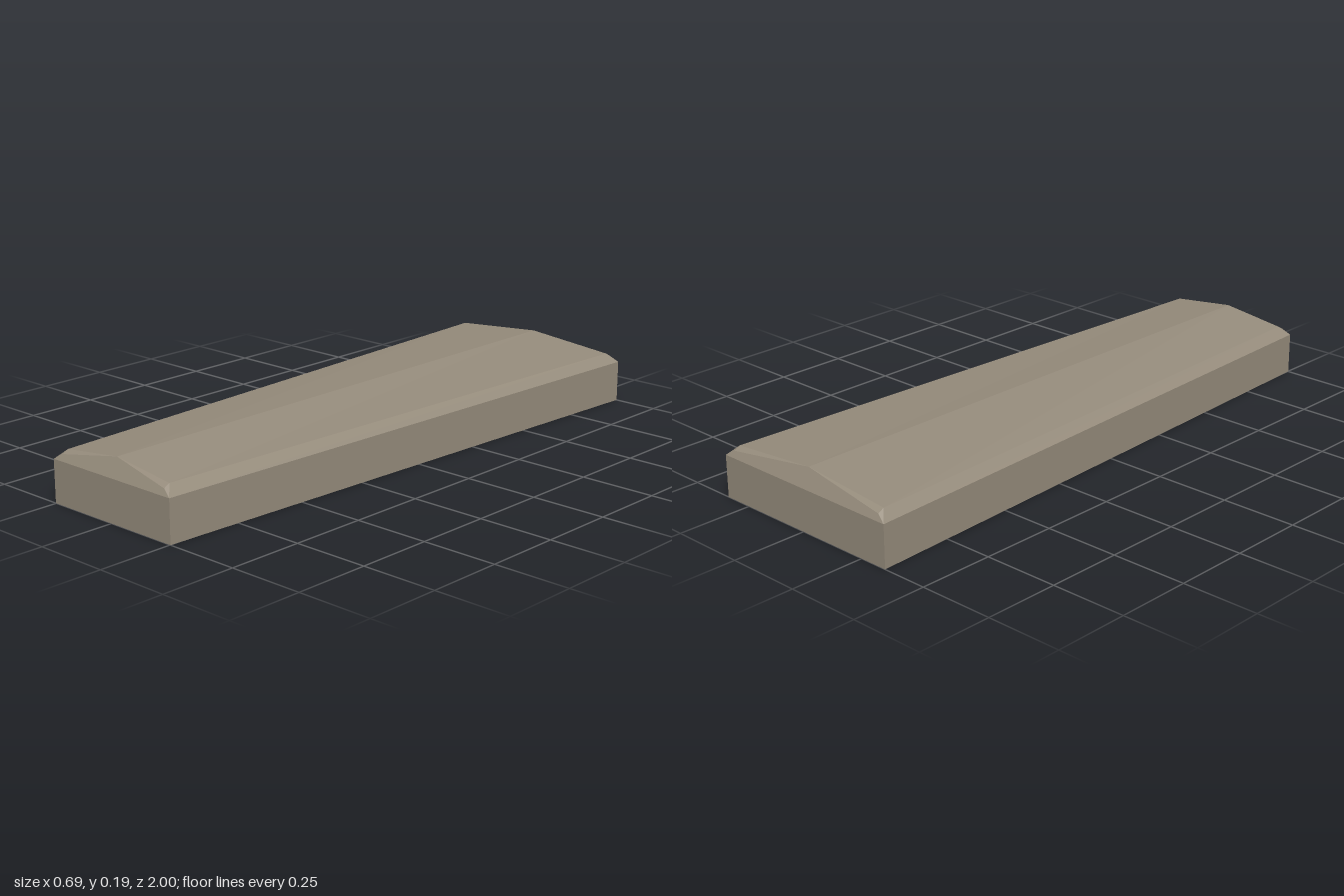
import * as THREE from 'three';

// Key points of one end (s = 1 front, -1 back), right at +x
function endPoints(half, s) {
  const inset = half - 0.031;
  return {
    base: [half, 0, s],
    rim: [half, 0.138, s],
    notch: [inset, 0.157, 0.99 * s],
    shoulder: [inset, 0.168, 0.97 * s],
    ridge: [0, 0.195, 0.97 * s],
  };
}

const mirror = ([x, y, z]) => [-x, y, z];

// Flat-faced mesh from convex polygons, fanned into triangles
function panel(name, polygons, material) {
  const pos = [];
  for (const p of polygons) {
    for (let i = 1; i < p.length - 1; i++) pos.push(...p[0], ...p[i], ...p[i + 1]);
  }
  const geometry = new THREE.BufferGeometry();
  geometry.setAttribute('position', new THREE.Float32BufferAttribute(pos, 3));
  geometry.computeVertexNormals();
  const mesh = new THREE.Mesh(geometry, material);
  mesh.name = name;
  return mesh;
}

export function createModel() {
  const group = new THREE.Group();
  group.name = 'taperedCover';
  const stone = new THREE.MeshStandardMaterial({ color: 0x968c7c });
  stone.name = 'warm grey';
  stone.side = THREE.DoubleSide; // open underneath, inside is visible

  const front = endPoints(0.252, 1);
  const back = endPoints(0.347, -1);

  // Long sides: wall, bevel and crown slope, mirrored across the ridge
  for (const side of [1, -1]) {
    const label = side > 0 ? 'left' : 'right';
    const strip = (a, b) => {
      const p = [front[a], back[a], back[b], front[b]];
      return side > 0 ? p : p.map(mirror).reverse();
    };
    group.add(panel(label + 'Wall', [strip('base', 'rim')], stone));
    group.add(panel(label + 'Bevel', [strip('rim', 'shoulder')], stone));
    group.add(panel(label + 'Crown', [strip('shoulder', 'ridge')], stone));
  }

  // Ends: upright wall, leaning gable and small corner facets
  for (const [label, e, s] of [['front', front, 1], ['back', back, -1]]) {
    const turn = (p) => (s > 0 ? p : p.slice().reverse());
    const m = Object.fromEntries(Object.entries(e).map(([k, p]) => [k, mirror(p)]));
    group.add(panel(label + 'Wall', [turn([m.base, e.base, e.rim, m.rim])], stone));
    group.add(panel(label + 'Gable', [
      turn([m.rim, e.rim, e.notch, m.notch]),
      turn([m.notch, e.notch, e.ridge]),
      turn([e.notch, e.shoulder, e.ridge]),
      turn([m.notch, m.ridge, m.shoulder]),
    ], stone));
    group.add(panel(label + 'Corners', [
      turn([e.rim, e.shoulder, e.notch]),
      turn([m.rim, m.notch, m.shoulder]),
    ], stone));
  }
  return group;
}
